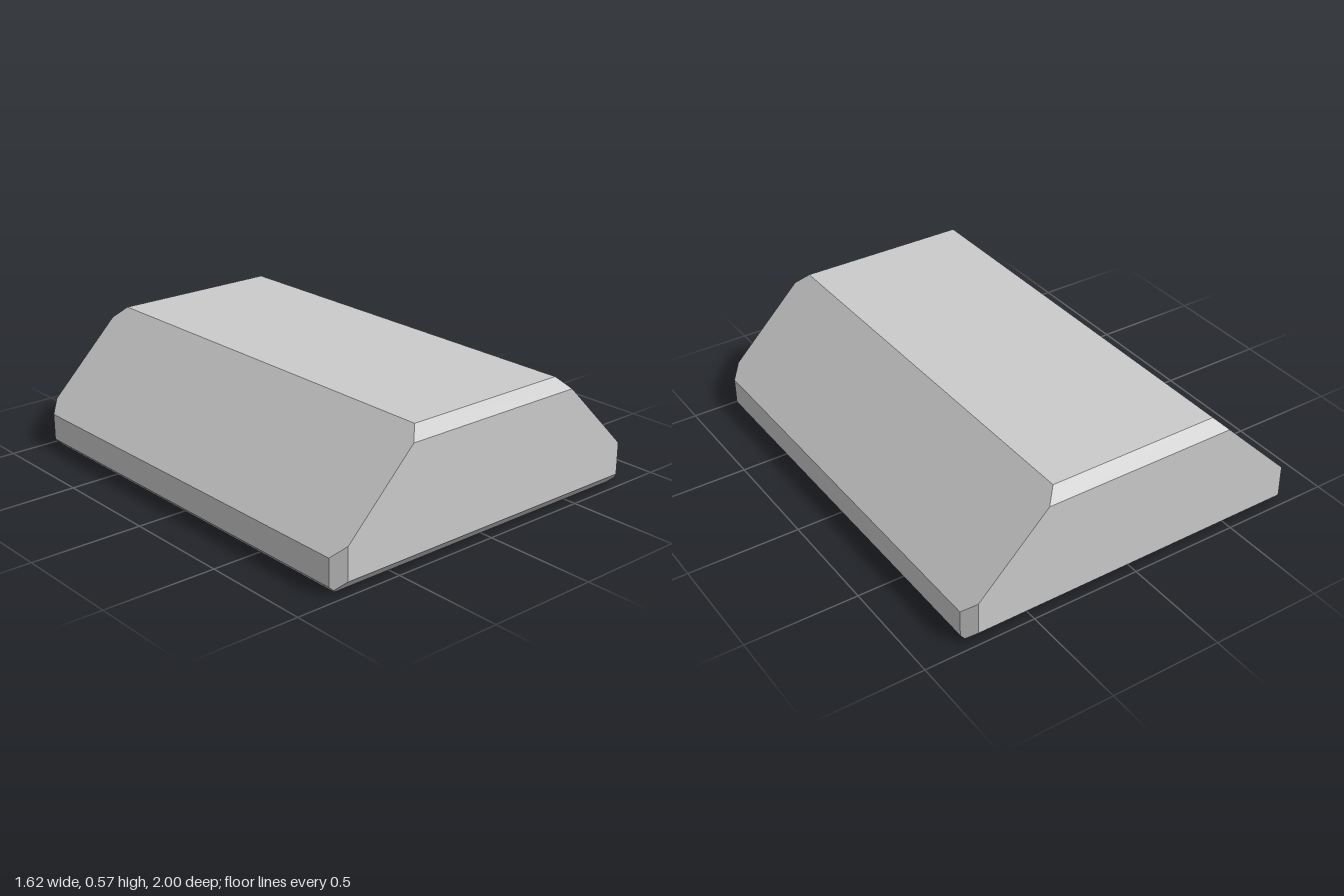
import * as THREE from 'three';
import { ConvexGeometry } from 'three/addons/geometries/ConvexGeometry.js';

// Corners of one quadrant (+x, +z); all bevels run at 45 degrees
const QUADRANT = [
  [0.39, 0.575, 0.95],       // flat top
  [0.44, 0.525, 1],          // end face, upper corner
  [0.76, 0.205, 1],          // end face, shoulder
  [0.81, 0.155, 0.95],       // side face, upper corner
  [0.76, 0.06, 1],           // end face, lower corner
  [0.81, 0.035, 0.95],       // side face, lower corner
  [0.7975, 0.0225, 0.9625],  // tip where the lower bevels meet
  [0.775, 0, 0.94],          // underside
];

export function createModel() {
  const group = new THREE.Group();
  group.name = 'bevelledBlock';

  // Mirror the quadrant across x and z, then wrap it in flat faces
  const points = [];
  for (const sx of [1, -1]) {
    for (const sz of [1, -1]) {
      for (const [x, y, z] of QUADRANT) points.push(new THREE.Vector3(sx * x, y, sz * z));
    }
  }

  const body = new THREE.Mesh(
    new ConvexGeometry(points),
    new THREE.MeshStandardMaterial({ color: 0xcccccc, flatShading: true })
  );
  body.name = 'body';
  group.add(body);
  return group;
}
